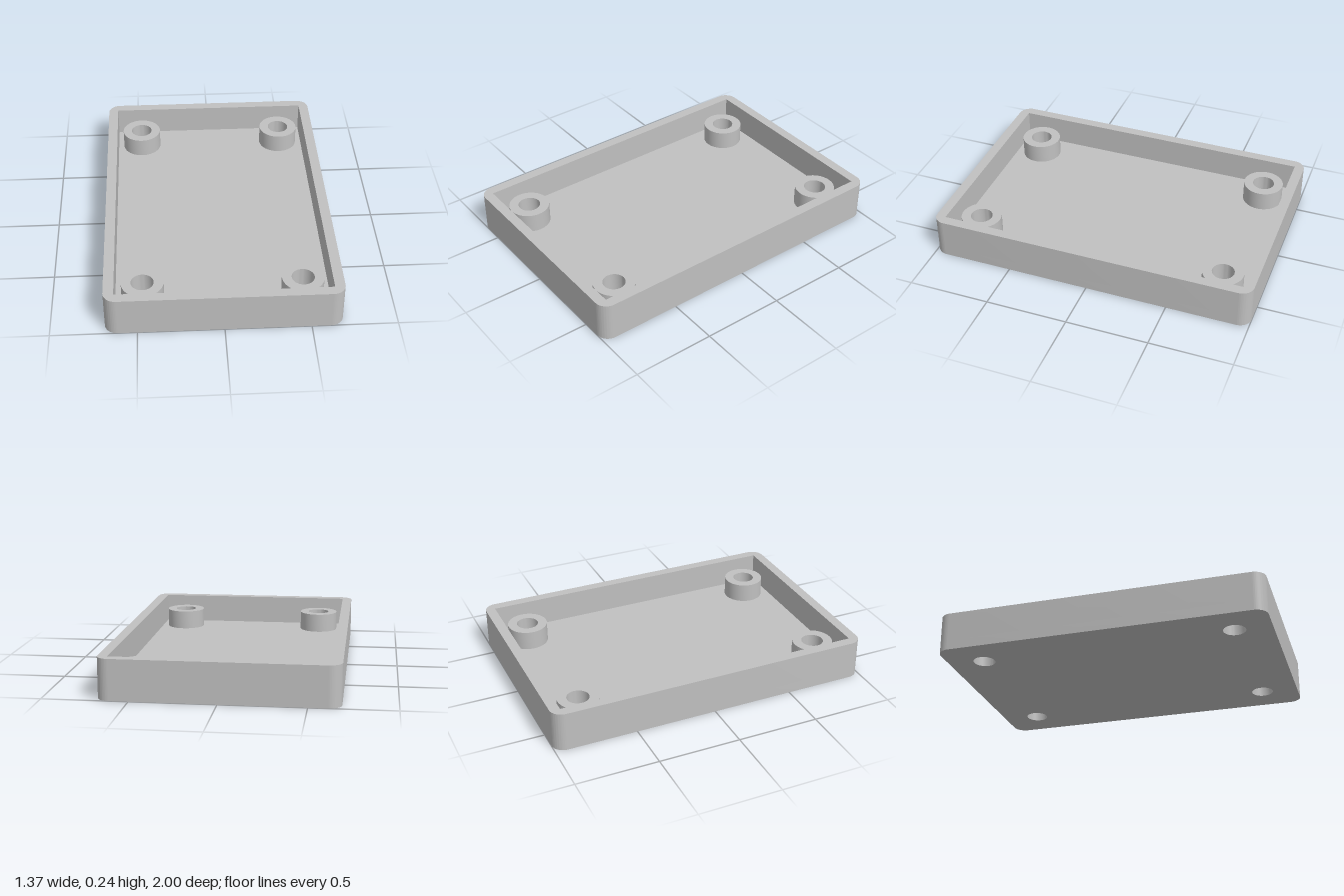
import * as THREE from 'three';
import { toCreasedNormals } from 'three/addons/utils/BufferGeometryUtils.js';

const W = 0.687, D = 1.0, H = 0.242;      // half width, half depth, height
const WALL = 0.061, FLOOR = 0.062;        // wall and floor thickness
const CORNER = 0.075;                     // outer corner radius
const BOSS_TOP = 0.181, BOSS_R = 0.124, HOLE_R = 0.067;
const BOSS_X = 0.466, BOSS_Z = 0.777;

function roundedOutline(w, d, r) {
  const s = new THREE.Shape();
  s.absarc(w - r, d - r, r, 0, Math.PI / 2);
  s.absarc(-w + r, d - r, r, Math.PI / 2, Math.PI);
  s.absarc(-w + r, -d + r, r, Math.PI, Math.PI * 1.5);
  s.absarc(w - r, -d + r, r, Math.PI * 1.5, Math.PI * 2);
  s.closePath();
  return s;
}

function circle(x, z, r) {
  return new THREE.Path().absarc(x, z, r, 0, Math.PI * 2, true);
}

// Extrude a plan shape upward between two heights, smooth on curves only
function slab(name, shape, y0, y1, material) {
  const raw = new THREE.ExtrudeGeometry(shape, { depth: y1 - y0, bevelEnabled: false, curveSegments: 24 });
  raw.rotateX(-Math.PI / 2).translate(0, y0, 0);
  const mesh = new THREE.Mesh(toCreasedNormals(raw, Math.PI / 6), material);
  mesh.name = name;
  return mesh;
}

export function createModel() {
  const group = new THREE.Group();
  group.name = 'enclosureTray';
  const grey = new THREE.MeshStandardMaterial({ color: 0xc0c0c0 });
  grey.name = 'light grey';

  // Floor plate with four through holes
  const floor = roundedOutline(W, D, CORNER);
  for (const sx of [-1, 1]) for (const sz of [-1, 1]) {
    floor.holes.push(circle(sx * BOSS_X, sz * BOSS_Z, HOLE_R));
  }
  group.add(slab('floor', floor, 0, FLOOR, grey));

  // Perimeter wall: rounded outside, square inside
  const wall = roundedOutline(W, D, CORNER);
  const iw = W - WALL, id = D - WALL;
  wall.holes.push(new THREE.Path([
    new THREE.Vector2(-iw, -id), new THREE.Vector2(-iw, id),
    new THREE.Vector2(iw, id), new THREE.Vector2(iw, -id),
  ]).closePath());
  group.add(slab('wall', wall, FLOOR, H, grey));

  // Hollow screw bosses over the holes
  for (const sx of [-1, 1]) for (const sz of [-1, 1]) {
    const boss = new THREE.Shape().absarc(0, 0, BOSS_R, 0, Math.PI * 2);
    boss.holes.push(circle(0, 0, HOLE_R));
    const mesh = slab('screwBoss', boss, FLOOR, BOSS_TOP, grey);
    mesh.position.set(sx * BOSS_X, 0, sz * BOSS_Z);
    group.add(mesh);
  }
  return group;
}
